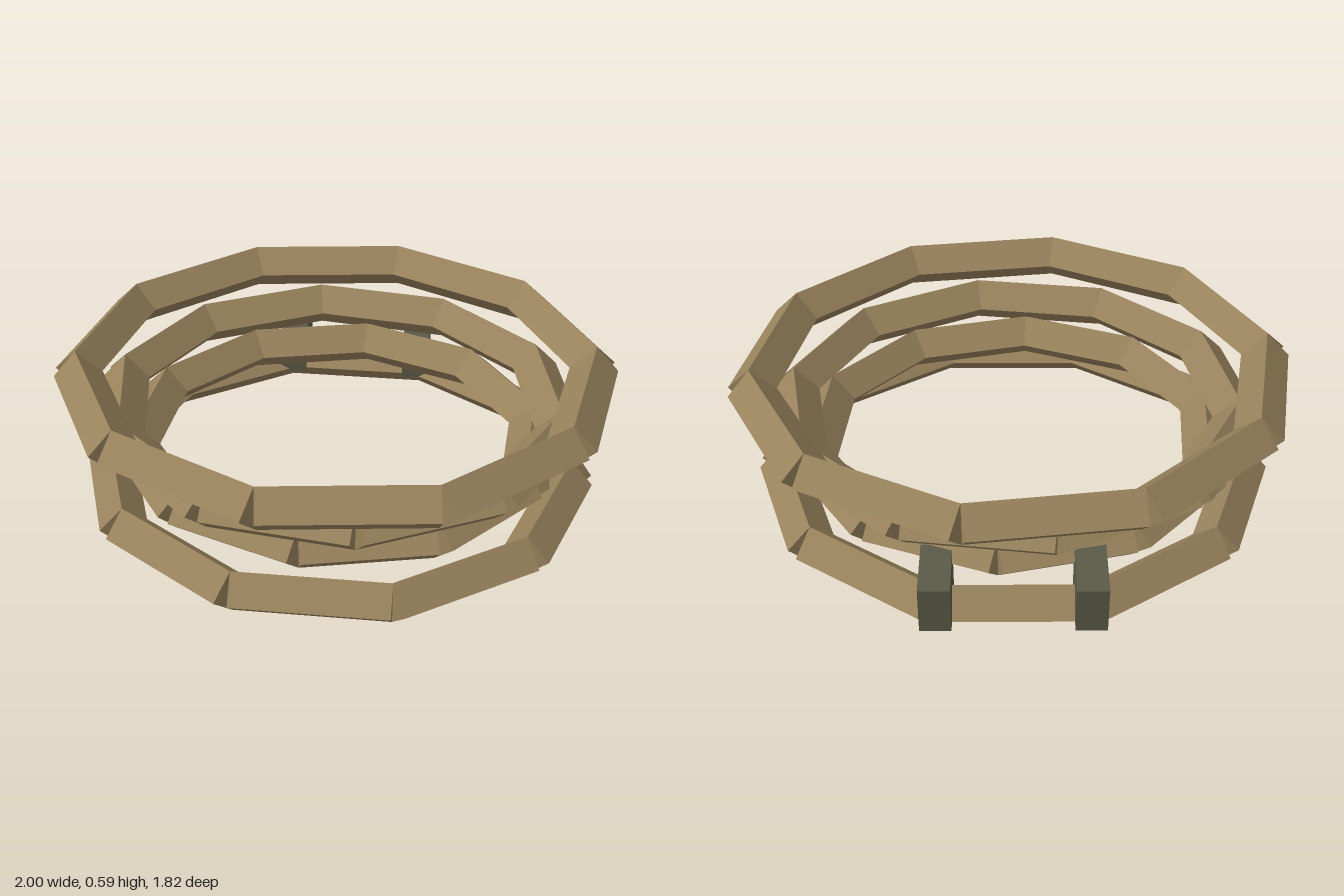
import * as THREE from 'three';

const wood = new THREE.MeshStandardMaterial({ color: 0x98825c });
wood.name = 'tan wood';
const stone = new THREE.MeshStandardMaterial({ color: 0x5a5a47 });
stone.name = 'grey green';

const SIDES = 10;
const BEAM = 0.0845; // half-diagonal of the diamond beam
const DEPTH_RATIO = 0.905; // rings are slightly shallower than wide

// Straight diamond-section beam between two points at the same height
function makeBeam(a, b) {
  const d = b.clone().sub(a);
  const geo = new THREE.CylinderGeometry(BEAM, BEAM, d.length(), 4)
    .rotateX(Math.PI / 2)
    .toNonIndexed();
  geo.computeVertexNormals(); // crisp facets
  const beam = new THREE.Mesh(geo, wood);
  beam.name = 'beam';
  beam.position.copy(a).add(b).multiplyScalar(0.5);
  beam.rotation.y = Math.atan2(d.x, d.z);
  return beam;
}

// Ten-sided elliptical ring of beams
function makeRing(name, y, radius, phaseDegrees) {
  const ring = new THREE.Group();
  ring.name = name;
  const corner = (i) => {
    const t = THREE.MathUtils.degToRad(phaseDegrees + (i * 360) / SIDES);
    return new THREE.Vector3(radius * Math.cos(t), y, radius * DEPTH_RATIO * Math.sin(t));
  };
  for (let i = 0; i < SIDES; i++) ring.add(makeBeam(corner(i), corner(i + 1)));
  return ring;
}

export function createModel() {
  const model = new THREE.Group();
  model.name = 'stackedRings';

  // Stacked rings, each turned a little against the next
  model.add(
    makeRing('bottomRing', 0.086, 0.866, 0),
    makeRing('lowerMiddleRing', 0.225, 0.741, 22),
    makeRing('upperMiddleRing', 0.364, 0.81, 8),
    makeRing('topRing', 0.503, 0.926, 28)
  );

  // Pair of blocks at the back
  for (const side of [1, -1]) {
    const block = new THREE.Mesh(new THREE.BoxGeometry(0.105, 0.176, 0.22), stone);
    block.name = side > 0 ? 'leftBackBlock' : 'rightBackBlock';
    block.position.set(side * 0.253, 0.167, -0.753);
    model.add(block);
  }
  return model;
}
